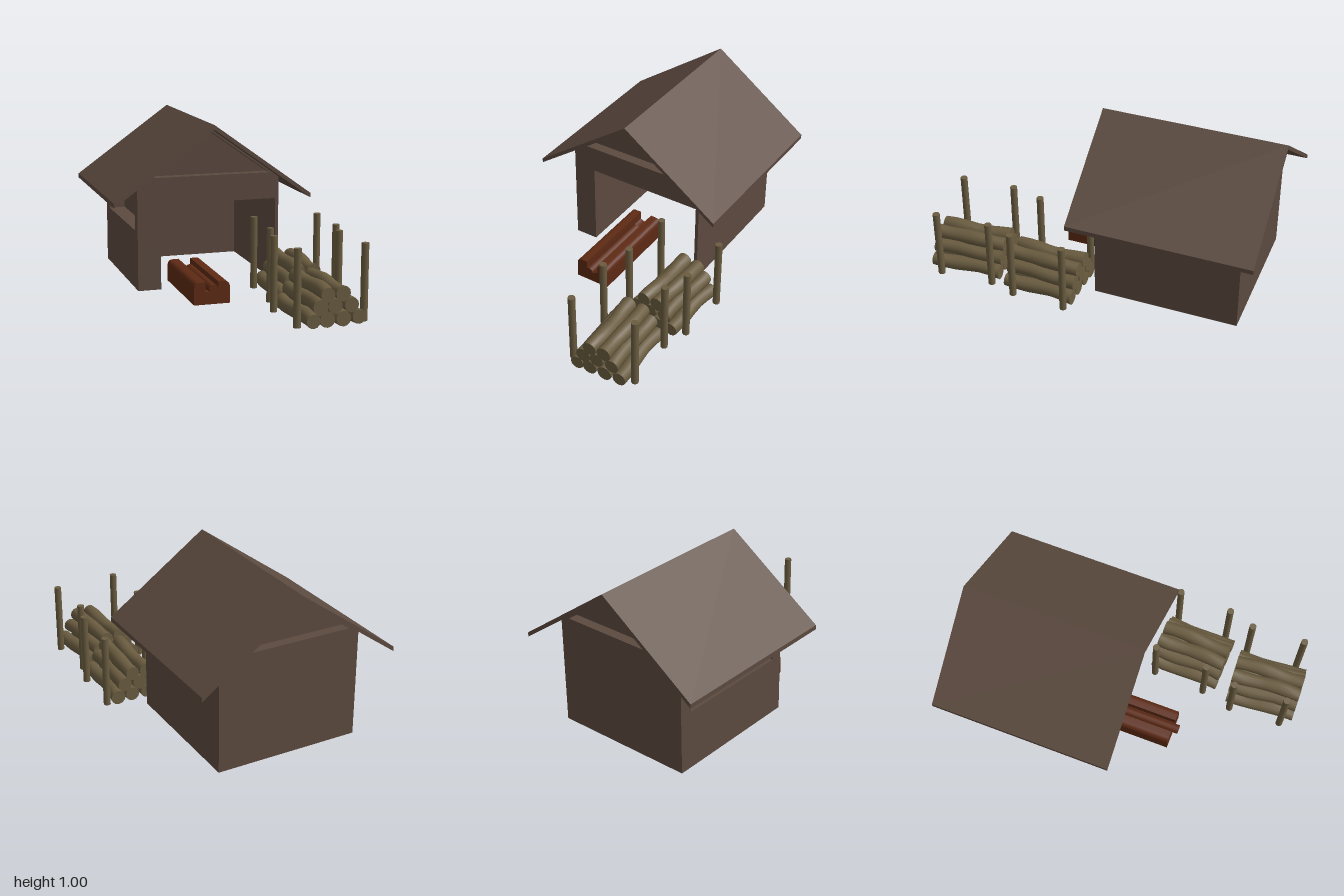
import * as THREE from 'three';

const mat = (color) => new THREE.MeshStandardMaterial({ color, roughness: 0.9 });
const houseMat = mat(0x5c4a3f);
const logMat = mat(0x6a5c40);
const benchMat = mat(0x5e2a14);

function add(parent, name, geometry, material) {
  const mesh = new THREE.Mesh(geometry, material);
  mesh.name = name;
  parent.add(mesh);
  return mesh;
}

// Box given by its two extreme corners
function boxBetween(x0, x1, y0, y1, z0, z1) {
  return new THREE.BoxGeometry(x1 - x0, y1 - y0, z1 - z0)
    .translate((x0 + x1) / 2, (y0 + y1) / 2, (z0 + z1) / 2);
}

const shapeOf = (points) => new THREE.Shape(points.map(([x, y]) => new THREE.Vector2(x, y)));

// Shape in x/y extruded from z0 to z1
function prism(shape, z0, z1) {
  return new THREE.ExtrudeGeometry(shape, { depth: z1 - z0, bevelEnabled: false, curveSegments: 8 })
    .translate(0, 0, z0);
}

function buildHouse() {
  const house = new THREE.Group();
  house.name = 'shed';
  const L = -0.47, R = 0.405, base = 0.015, lintel = 0.53;
  const back = -0.89, front = -0.02, innerBack = -0.83;

  // Walls around the open bay
  add(house, 'backWall', boxBetween(L, R, base, lintel, back, innerBack), houseMat);
  add(house, 'rightWall', boxBetween(0.385, R, base, lintel, innerBack, front), houseMat);
  add(house, 'leftWallInner', boxBetween(-0.37, -0.33, base, lintel, innerBack, front), houseMat);

  // Outer skin of the thick wall, with a long window recess
  const side = shapeOf([[innerBack, base], [front, base], [front, lintel], [innerBack, lintel]]);
  side.holes.push(shapeOf([[-0.81, 0.37], [-0.81, 0.5], [-0.09, 0.5], [-0.09, 0.37]]));
  add(house, 'leftWallOuter', prism(side, 0, 0.1).rotateY(-Math.PI / 2).translate(-0.37, 0, 0), houseMat);

  // Loft, with a recessed triangle at each gable
  const gable = () => shapeOf([[L, lintel], [R, lintel], [R, 0.664], [-0.0325, 0.975], [L, 0.664]]);
  add(house, 'loft', prism(gable(), innerBack, -0.08), houseMat);
  for (const [name, z0, z1] of [['frontGable', -0.08, front], ['backGable', back, innerBack]]) {
    const frame = gable();
    frame.holes.push(shapeOf([[-0.405, 0.69], [-0.0325, 0.958], [0.345, 0.69]]));
    add(house, name, prism(frame, z0, z1), houseMat);
  }

  // Pitched roof
  const roof = shapeOf([[-0.633, 0.545], [-0.0325, 0.975], [0.568, 0.545],
    [0.568, 0.572], [-0.0325, 1.003], [-0.633, 0.572]]);
  add(house, 'roof', prism(roof, -1, 0.095), houseMat);
  return house;
}

// Slightly bent, uneven log lying along z
function logGeometry(seed, radius, length) {
  const geometry = new THREE.CylinderGeometry(radius, radius, length, 12, 6).rotateX(Math.PI / 2);
  const p = geometry.attributes.position;
  for (let i = 0; i < p.count; i++) {
    const t = p.getZ(i) / length;
    const swell = 1 + 0.06 * Math.sin(t * 9 + seed * 2.3);
    p.setXY(i,
      p.getX(i) * swell + 0.006 * Math.sin(t * 6 + seed * 1.7),
      p.getY(i) * swell + 0.004 * Math.sin(t * 7 + seed * 3.1));
  }
  geometry.computeVertexNormals();
  return geometry;
}

function buildLogPile(name, x, z, turn) {
  const pile = new THREE.Group();
  pile.name = name;
  // Rows of four, three and two logs
  [[4, 0.056], [3, 0.128], [2, 0.194]].forEach(([count, y], row) => {
    for (let i = 0; i < count; i++) {
      const log = add(pile, 'log', logGeometry(row * 4 + i, 0.043, 0.43), logMat);
      log.position.set((i - (count - 1) / 2) * 0.088, y, 0);
    }
  });
  // Corner stakes
  for (const sx of [-1, 1]) for (const sz of [-1, 1]) {
    const stake = add(pile, 'stake', new THREE.CylinderGeometry(0.021, 0.021, 0.435, 12), logMat);
    stake.position.set(sx * 0.198, 0.2275, sz * 0.163 - 0.018);
  }
  pile.position.set(x, 0, z);
  pile.rotation.y = turn;
  return pile;
}

function buildTrough() {
  const trough = new THREE.Group();
  trough.name = 'trough';
  // Rounded sides with a channel between them
  const s = new THREE.Shape();
  s.moveTo(-0.107, 0);
  s.lineTo(0.107, 0);
  s.lineTo(0.107, 0.095);
  s.quadraticCurveTo(0.107, 0.132, 0.07, 0.132);
  s.lineTo(0.038, 0.132);
  s.lineTo(0.038, 0.078);
  s.quadraticCurveTo(0, 0.055, -0.038, 0.078);
  s.lineTo(-0.038, 0.132);
  s.lineTo(-0.07, 0.132);
  s.quadraticCurveTo(-0.107, 0.132, -0.107, 0.095);
  add(trough, 'troughBody', prism(s, -0.27, 0.325), benchMat);
  // Round bar lying in the channel
  const bar = new THREE.CylinderGeometry(0.028, 0.028, 0.51, 16).rotateX(Math.PI / 2);
  add(trough, 'bar', bar, benchMat).position.set(0, 0.096, 0.105);
  trough.position.x = -0.118;
  return trough;
}

export function createModel() {
  const model = new THREE.Group();
  model.name = 'woodShed';
  model.add(
    buildHouse(),
    buildLogPile('rearLogPile', 0.407, 0.27, -0.037),
    buildLogPile('frontLogPile', 0.364, 0.773, 0.05),
    buildTrough(),
  );
  return model;
}
